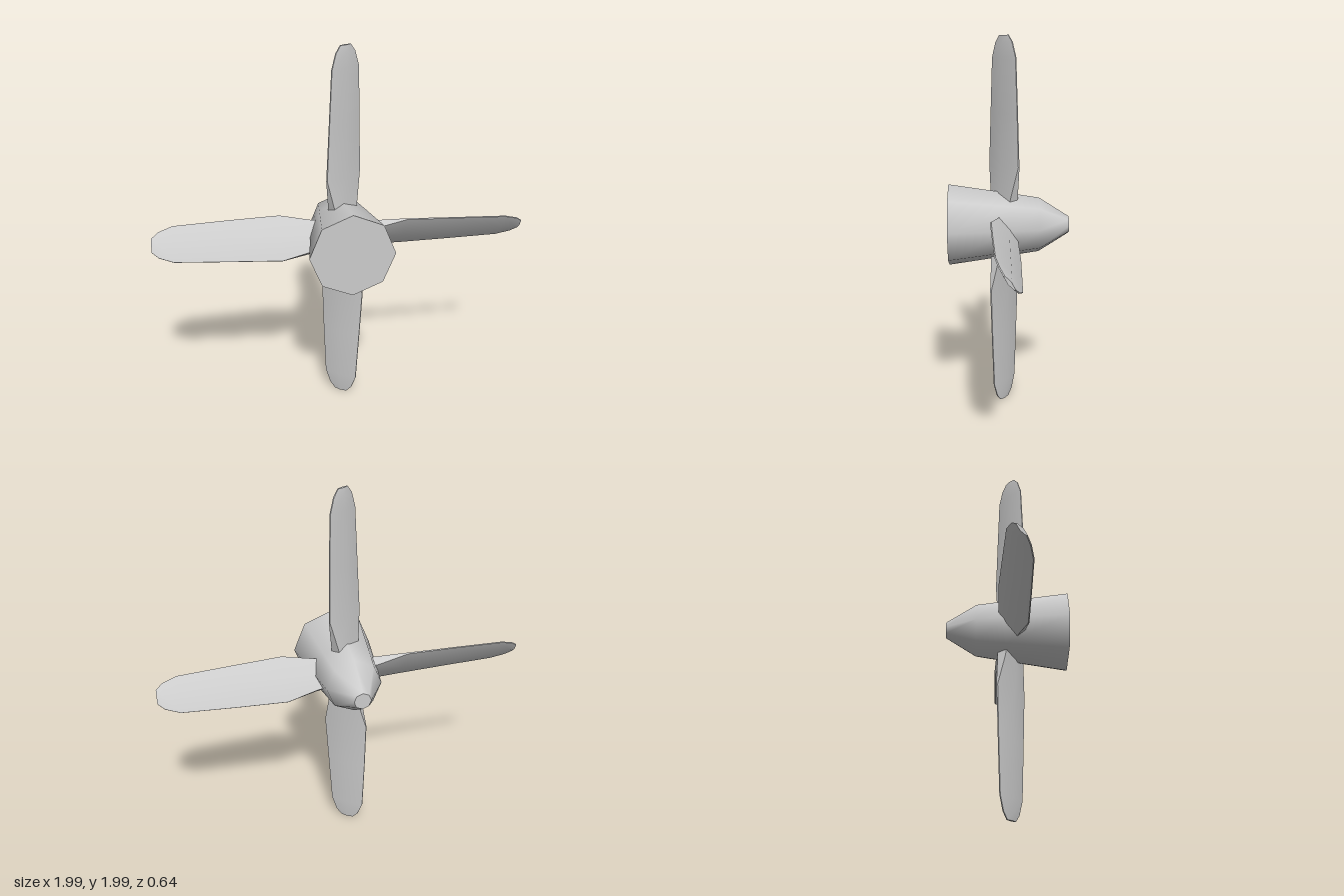
import * as THREE from 'three';
import { toCreasedNormals } from 'three/addons/utils/BufferGeometryUtils.js';

const material = new THREE.MeshStandardMaterial({ color: 0xcccccc });
const PITCH = 0.645; // blade angle to the plane of rotation

// Blade along +y: hexagonal sections lofted from root to tip.
function bladeGeometry() {
  // radius, half chord, half thickness, half thickness at the edges, sideways shift
  const sections = [
    [0.10, 0.075, 0.035, 0.030, 0.0],
    [0.17, 0.086, 0.033, 0.024, 0.0],
    [0.33, 0.123, 0.025, 0.004, 0.003],
    [0.60, 0.111, 0.020, 0.003, 0.008],
    [0.885, 0.096, 0.016, 0.003, 0.012],
    [0.96, 0.068, 0.013, 0.003, 0.012],
    [0.995, 0.036, 0.009, 0.003, 0.012],
  ];
  const c = Math.cos(PITCH), s = Math.sin(PITCH);
  const positions = [], index = [];
  for (const [r, chord, mid, edge, shift] of sections) {
    const ring = [[chord, edge], [chord, -edge], [0, -mid], [-chord, -edge], [-chord, edge], [0, mid]];
    for (const [u, v] of ring) positions.push(shift + u * c + v * s, r, 0.025 - u * s + v * c);
  }
  for (let k = 0; k < sections.length - 1; k++) {
    for (let i = 0; i < 6; i++) {
      const a = k * 6 + i, b = k * 6 + (i + 1) % 6;
      index.push(a, b, b + 6, a, b + 6, a + 6);
    }
  }
  // Tip and root caps
  const t = (sections.length - 1) * 6;
  for (let i = 1; i < 5; i++) index.push(t, t + i, t + i + 1, 0, i + 1, i);
  const geometry = new THREE.BufferGeometry();
  geometry.setAttribute('position', new THREE.Float32BufferAttribute(positions, 3));
  geometry.setIndex(index);
  return toCreasedNormals(geometry, 0.7);
}

export function createModel() {
  const model = new THREE.Group();
  model.name = 'propeller';
  const add = (name, geometry, parent) => {
    const mesh = new THREE.Mesh(geometry, material);
    mesh.name = name;
    parent.add(mesh);
    return mesh;
  };

  // Eight-sided hub, tapering to the nose at -z
  const hub = new THREE.Group();
  hub.name = 'hub';
  hub.position.y = 1.015;
  model.add(hub);
  const profile = [[0.045, -0.32], [0.147, -0.16], [0.172, 0], [0.22, 0.32]]
    .map(([r, z]) => new THREE.Vector2(r, z));
  add('hubShell', new THREE.LatheGeometry(profile, 8), hub).rotation.x = Math.PI / 2;
  add('hubBase', new THREE.CircleGeometry(0.22, 8), hub).position.z = 0.32;
  const tip = add('noseTip', new THREE.CircleGeometry(0.045, 8), hub);
  tip.position.z = -0.32;
  tip.rotation.y = Math.PI;

  // Four pitched blades around the hub axis
  const blades = new THREE.Group();
  blades.name = 'blades';
  blades.position.y = 1.005;
  model.add(blades);
  const geometry = bladeGeometry();
  for (let i = 0; i < 4; i++) add('blade' + (i + 1), geometry, blades).rotation.z = i * Math.PI / 2;

  return model;
}
